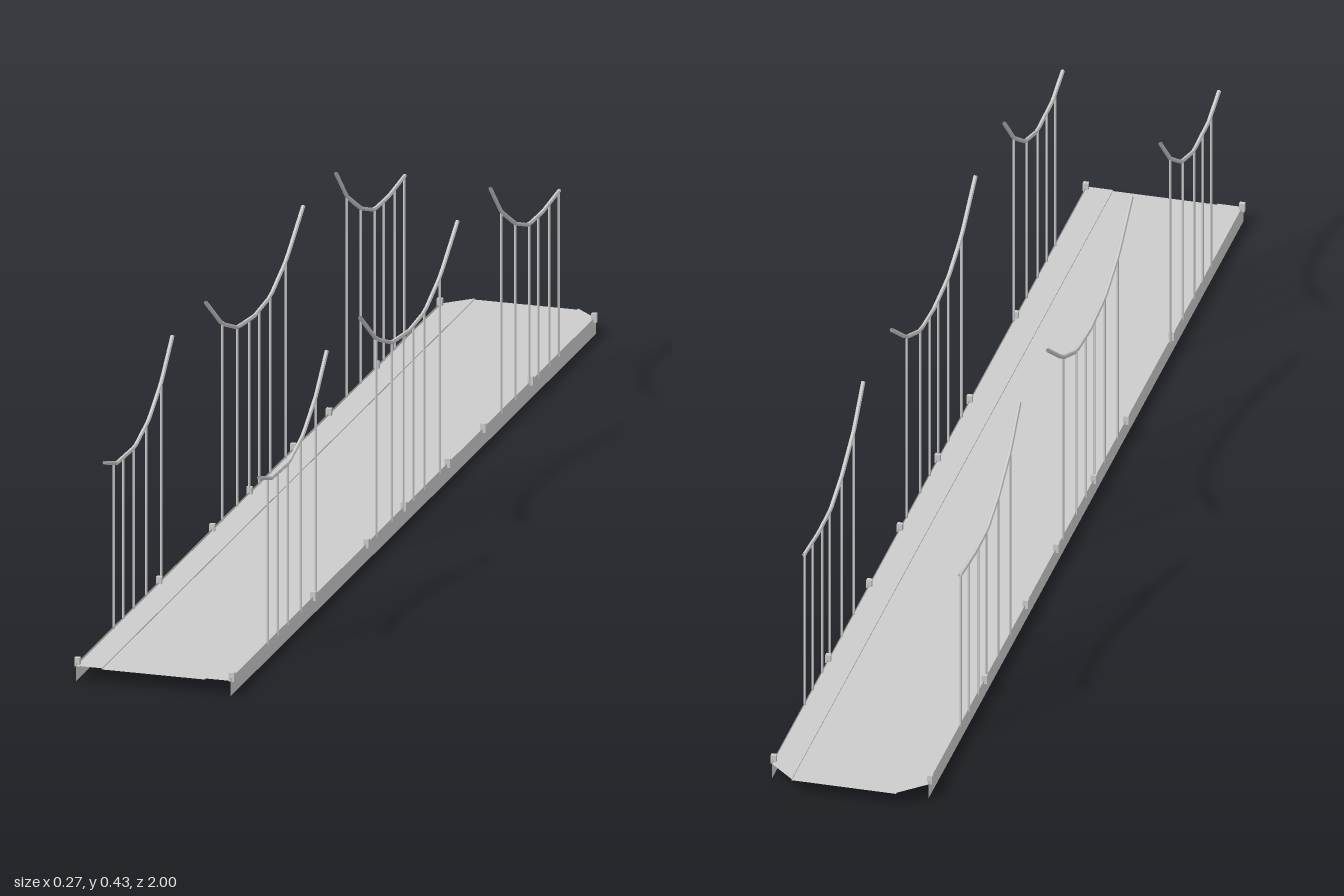
import * as THREE from 'three';

const EDGE = 0.13;      // half width of the deck
const LANE = 0.087;     // half width of the roadway
const ROAD_Y = 0.024;
const WALK_Y = 0.026;

const mat = new THREE.MeshStandardMaterial({ color: 0xcccccc, flatShading: true, side: THREE.DoubleSide });

// Each span: cable points and hanger positions, as seen from the side
const spans = [
  {
    cable: [[0.848, 0.322], [0.783, 0.301], [0.687, 0.298], [0.612, 0.32], [0.543, 0.364], [0.484, 0.423]],
    hangers: [0.799, 0.746, 0.692, 0.623, 0.543],
  },
  {
    cable: [[0.305, 0.423], [0.219, 0.36], [0.136, 0.328], [0.045, 0.319], [-0.04, 0.325], [-0.126, 0.36], [-0.217, 0.423]],
    hangers: [0.217, 0.136, 0.072, 0.019, -0.04, -0.123],
  },
  {
    cable: [[-0.393, 0.423], [-0.452, 0.365], [-0.527, 0.322], [-0.596, 0.298], [-0.671, 0.296], [-0.762, 0.304]],
    hangers: [-0.452, -0.527, -0.602, -0.65, -0.709, -0.759],
  },
];
const blockZ = [0.992, 0.555, 0.27, 0.07, -0.165, -0.355, -0.61, -0.95];

function add(parent, geometry, name) {
  const mesh = new THREE.Mesh(geometry, mat);
  mesh.name = name;
  parent.add(mesh);
  return mesh;
}

// Flat sheet from [x, z] corners at height y
function sheet(corners, y) {
  const shape = new THREE.Shape(corners.map(([x, z]) => new THREE.Vector2(x, -z)));
  return new THREE.ShapeGeometry(shape).rotateX(-Math.PI / 2).translate(0, y, 0);
}

// Height of a polyline cable at z
function cableHeight(points, z) {
  for (let i = 0; i < points.length - 1; i++) {
    const [z0, y0] = points[i], [z1, y1] = points[i + 1];
    if (z <= z0 && z >= z1) return y0 + (y1 - y0) * (z0 - z) / (z0 - z1);
  }
  return points[points.length - 1][1];
}

// Faceted cable made of straight tubes
function cableGeometry(points, x) {
  const path = new THREE.CurvePath();
  const v = points.map(([z, y]) => new THREE.Vector3(x, y, z));
  for (let i = 0; i < v.length - 1; i++) path.add(new THREE.LineCurve3(v[i], v[i + 1]));
  return new THREE.TubeGeometry(path, 24, 0.0035, 6, false);
}

function buildSide(s) {
  const side = new THREE.Group();
  side.name = s > 0 ? 'leftSide' : 'rightSide';
  const x = s * EDGE;

  // Walkway strip with its cut-off back corner
  const strip = [[s * LANE, 1], [x, 1], [x, -0.96], [s * LANE, -1]];
  add(side, sheet(strip, WALK_Y), 'walkway');

  // Kerb between road and walkway
  const kerb = new THREE.PlaneGeometry(2, WALK_Y - ROAD_Y).rotateY(Math.PI / 2);
  add(side, kerb, 'kerb').position.set(s * LANE, (ROAD_Y + WALK_Y) / 2, 0);

  // Thin girder hanging along the edge
  const girder = new THREE.PlaneGeometry(1.96, 0.03).rotateY(s * Math.PI / 2);
  add(side, girder, 'edgeGirder').position.set(x, 0.015, 0.02);

  // Small blocks along the edge
  for (const z of blockZ) {
    add(side, new THREE.BoxGeometry(0.009, 0.015, 0.007), 'edgeBlock').position.set(x, 0.0305, z);
  }

  // Cables and hangers
  for (const { cable, hangers } of spans) {
    add(side, cableGeometry(cable, x), 'cable');
    for (const z of hangers) {
      const h = cableHeight(cable, z) - ROAD_Y;
      add(side, new THREE.CylinderGeometry(0.0022, 0.0022, h, 5), 'hanger').position.set(x, ROAD_Y + h / 2, z);
    }
  }
  return side;
}

export function createModel() {
  const model = new THREE.Group();
  model.name = 'suspensionBridge';
  add(model, sheet([[-LANE, 1], [LANE, 1], [LANE, -1], [-LANE, -1]], ROAD_Y), 'roadway');
  for (const s of [1, -1]) model.add(buildSide(s));
  return model;
}
